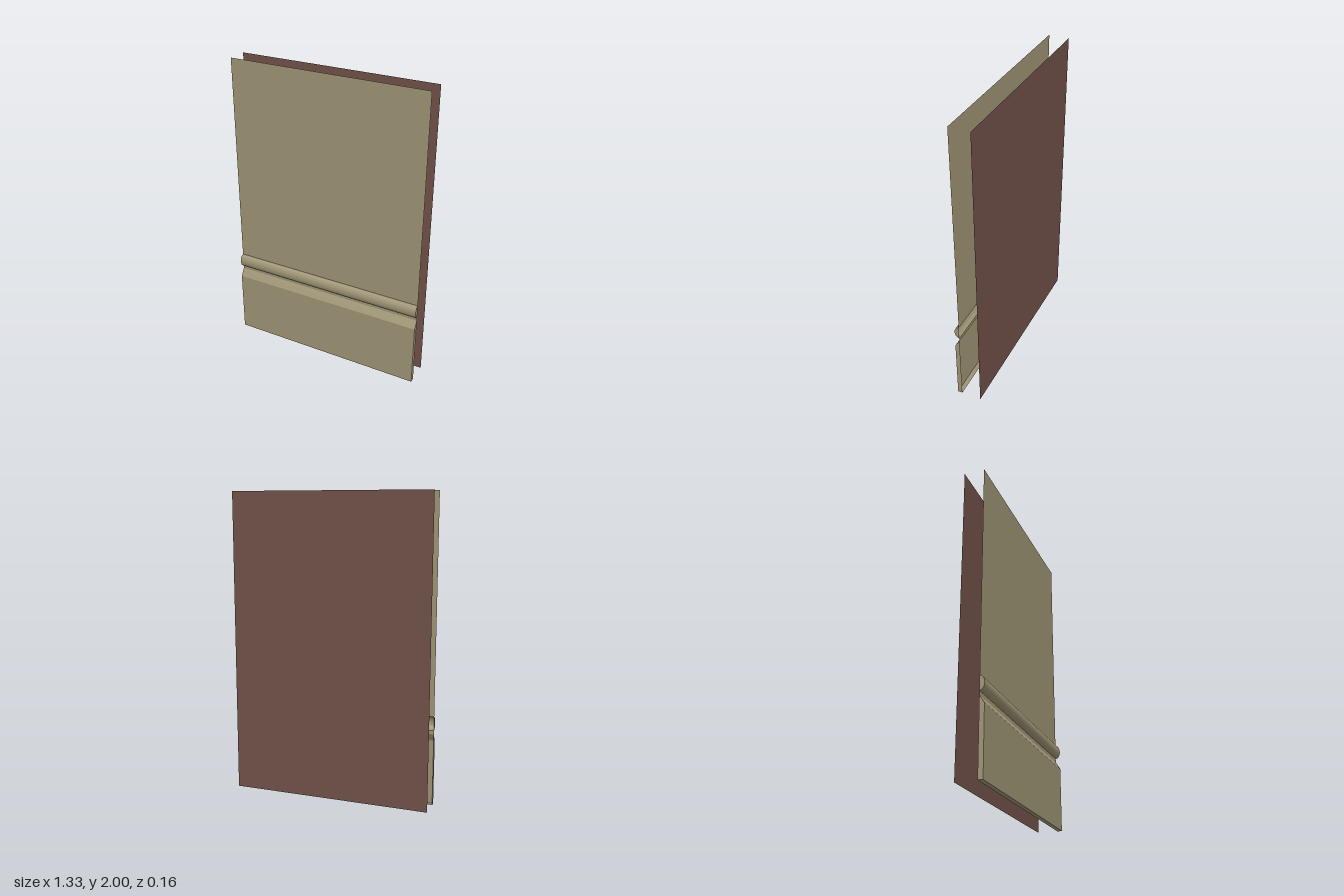
import * as THREE from 'three';
import { toCreasedNormals, mergeGeometries } from 'three/addons/utils/BufferGeometryUtils.js';

const HALF = 0.666;    // half the panel width
const FACE = 0.051;    // z of the front sheet
const LIP = 0.082;     // z of the raised mouldings
const BACK = -0.082;   // z of the rear sheet

// Sweeps a [z, y] profile (listed from top to bottom) across the width
function sweep(profile) {
  const pos = [];
  for (let i = 0; i < profile.length - 1; i++) {
    const [za, ya] = profile[i];
    const [zb, yb] = profile[i + 1];
    pos.push(-HALF, ya, za, -HALF, yb, zb, HALF, yb, zb);
    pos.push(-HALF, ya, za, HALF, yb, zb, HALF, ya, za);
  }
  const geo = new THREE.BufferGeometry();
  geo.setAttribute('position', new THREE.Float32BufferAttribute(pos, 3));
  return toCreasedNormals(geo, Math.PI / 6);
}

// Flat end piece closing a profile on one side (+1 left, -1 right)
function endCap(profile, side) {
  const shape = new THREE.Shape(profile.map(([z, y]) => new THREE.Vector2(-side * z, y)));
  const geo = new THREE.ShapeGeometry(shape).toNonIndexed();
  geo.deleteAttribute('uv');
  return geo.rotateY(side * Math.PI / 2).translate(side * HALF, 0, 0);
}

// Moulding with an open back and closed ends
function moulding(profile) {
  return mergeGeometries([sweep(profile), endCap(profile, 1), endCap(profile, -1)]);
}

export function createModel() {
  const group = new THREE.Group();
  const paint = new THREE.MeshStandardMaterial({ color: 0x9c9273, side: THREE.DoubleSide });
  paint.name = 'olive paint';
  const brown = new THREE.MeshStandardMaterial({ color: 0x6e5047, side: THREE.DoubleSide });
  brown.name = 'brown backing';

  const add = (name, geo, mat) => {
    const mesh = new THREE.Mesh(geo, mat);
    mesh.name = name;
    group.add(mesh);
  };

  // Front sheet above the rail, and the narrow strip between rail and skirting
  add('upperWall', sweep([[FACE, 2], [FACE, 0.59]]), paint);
  add('wallStrip', sweep([[FACE, 0.5], [FACE, 0.475]]), paint);

  // Half-round rail
  const arc = [];
  for (let i = 0; i <= 16; i++) {
    const a = (i / 16) * Math.PI;
    arc.push([FACE + (LIP - FACE) * Math.sin(a), 0.545 + 0.045 * Math.cos(a)]);
  }
  add('rail', moulding(arc), paint);

  // Skirting board with a bevelled top edge
  add('skirting', moulding([[FACE, 0.475], [LIP, 0.425], [LIP, 0], [FACE, 0]]), paint);

  // Rear sheet, facing backwards
  const rear = new THREE.PlaneGeometry(HALF * 2, 2).rotateY(Math.PI).translate(0, 1, BACK);
  add('backPanel', rear, brown);

  return group;
}
